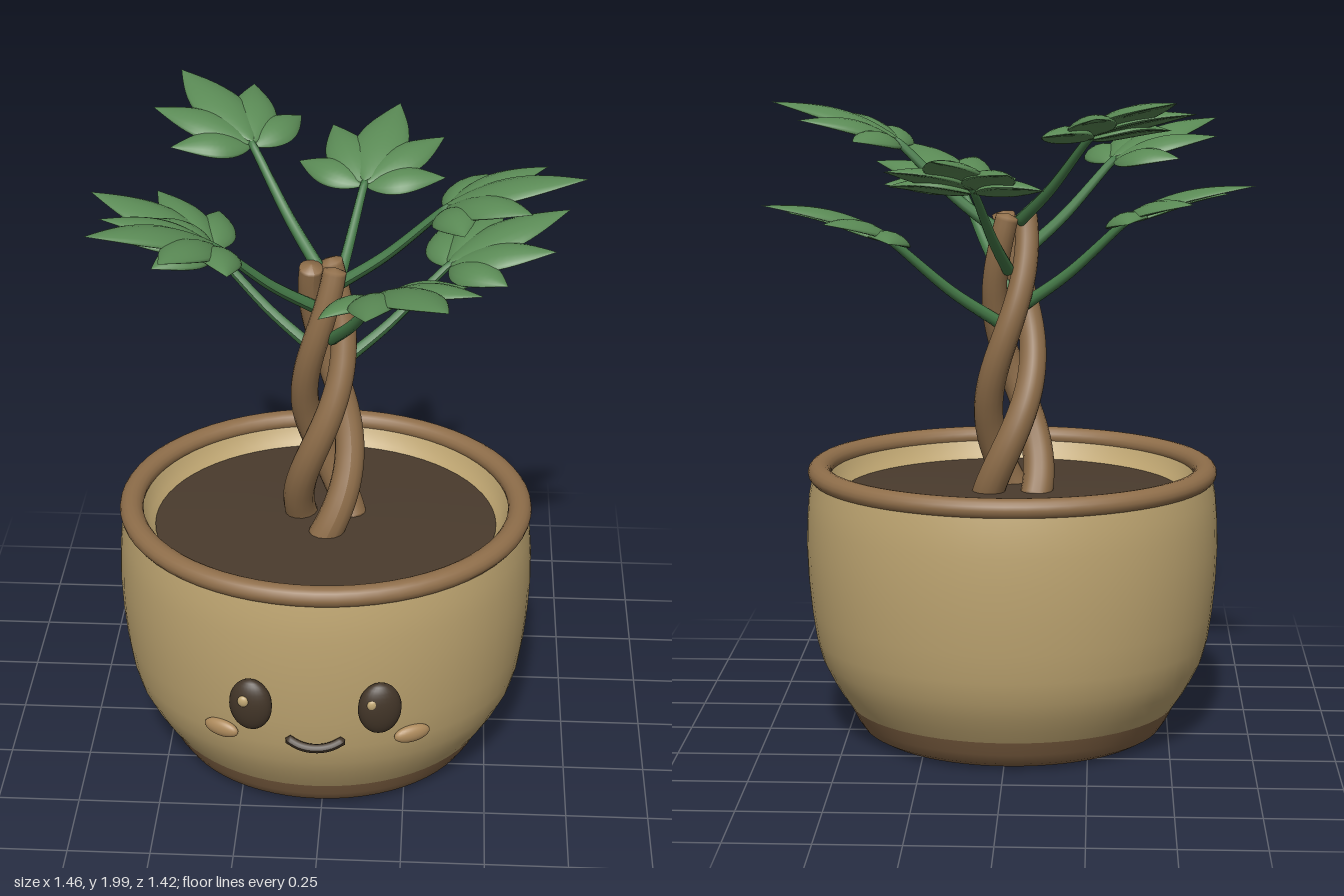
import * as THREE from 'three';

const mat = (name, color) => {
  const m = new THREE.MeshStandardMaterial({ color });
  m.name = name;
  return m;
};
const V = (x, y, z) => new THREE.Vector3(x, y, z);

export function createModel() {
  const clay = mat('clay tan', 0xbea571);
  const brown = mat('bark brown', 0x8f6e4a);
  const footBrown = mat('foot brown', 0x826344);
  const soilDark = mat('soil dark', 0x4a3b2d);
  const faceDark = mat('face dark', 0x423528);
  const blush = mat('cheek tan', 0xad8a5c);
  const shine = mat('eye shine', 0xbfa673);
  const leafGreen = mat('leaf green', 0x5a8a55);
  const stemGreen = mat('stem green', 0x457a48);

  const model = new THREE.Group();
  model.name = 'pottedPlant';
  const CX = -0.01, CZ = 0.053, DEPTH = 0.918;

  const add = (parent, name, geo, material) => {
    const mesh = new THREE.Mesh(geo, material);
    mesh.name = name;
    parent.add(mesh);
    return mesh;
  };
  const lathe = (pts) => new THREE.LatheGeometry(pts.map(([r, y]) => new THREE.Vector2(r, y)), 64);

  // Tube whose radius runs from r0 to r1, with closed ends
  const taperedTube = (curve, segs, r0, r1, sides) => {
    const geo = new THREE.TubeGeometry(curve, segs, 1, sides);
    const p = geo.attributes.position, v = V();
    for (let i = 0; i < p.count; i++) {
      const ring = Math.floor(i / (sides + 1));
      const t = ring / segs;
      const c = curve.getPointAt(t);
      const r = ring === 0 || ring === segs ? 0 : r0 + (r1 - r0) * t;
      v.fromBufferAttribute(p, i).sub(c).multiplyScalar(r).add(c);
      p.setXYZ(i, v.x, v.y, v.z);
    }
    geo.computeVertexNormals();
    return geo;
  };

  // Oval pot: every ring is slightly narrower front to back
  const pot = new THREE.Group();
  pot.name = 'pot';
  pot.position.set(CX, 0, CZ);
  pot.scale.z = DEPTH;
  model.add(pot);
  add(pot, 'potBody', lathe([
    [0.513, 0.1], [0.54, 0.14], [0.566, 0.185], [0.593, 0.24], [0.612, 0.31], [0.625, 0.4],
    [0.634, 0.5], [0.638, 0.6], [0.635, 0.69], [0.629, 0.76], [0.617, 0.82]]), clay);
  add(pot, 'potInnerWall', lathe([[0.575, 0.84], [0.558, 0.81], [0.54, 0.775], [0.5, 0.74]]), clay);
  add(pot, 'potFloor', lathe([[0, 0.1], [0.5, 0.1]]), clay);
  add(pot, 'potFoot', lathe([
    [0.13, 0.1], [0.13, 0.055], [0.145, 0.03], [0.19, 0.012], [0.28, 0.003], [0.38, 0],
    [0.44, 0.006], [0.468, 0.022], [0.49, 0.055], [0.513, 0.1]]), footBrown);
  const rim = add(pot, 'potRim', new THREE.TorusGeometry(0.596, 0.036, 16, 64), brown);
  rim.rotation.x = Math.PI / 2;
  rim.scale.z = 0.87;
  rim.position.y = 0.83;
  add(pot, 'soil', lathe([[0.525, 0.765], [0.3, 0.773], [0, 0.776]]), soilDark);

  // Face on the front of the pot
  const face = new THREE.Group();
  face.name = 'face';
  face.position.x = CX;
  model.add(face);
  const blob = (name, material, pos, size, turn = 0) => {
    const m = add(face, name, new THREE.SphereGeometry(1, 24, 16), material);
    m.position.set(...pos);
    m.scale.set(...size);
    m.rotation.y = turn;
  };
  for (const [side, s] of [['left', 1], ['right', -1]]) {
    blob(side + 'Eye', faceDark, [s * 0.19, 0.47, 0.63], [0.065, 0.086, 0.036], s * 0.2);
    blob(side + 'EyeShine', shine, [s * 0.19 - 0.02, 0.497, 0.658], [0.017, 0.018, 0.01], s * 0.2);
    blob(side + 'Cheek', blush, [s * 0.285, 0.335, 0.562], [0.058, 0.028, 0.02], s * 0.47);
  }
  const smile = new THREE.CatmullRomCurve3([
    V(-0.088, 0.347, 0.622), V(-0.045, 0.328, 0.634), V(0, 0.322, 0.638), V(0.045, 0.328, 0.634), V(0.088, 0.347, 0.622)]);
  add(face, 'smile', taperedTube(smile, 24, 0.014, 0.014, 8), faceDark);

  // Three braided trunks
  for (let k = 0; k < 3; k++) {
    const pts = [];
    for (let i = 0; i <= 16; i++) {
      const y = 0.74 + 0.89 * i / 16;
      const a = -Math.PI / 2 + k * Math.PI * 2 / 3 + (y - 0.85) * 5.71;
      const r = 0.088 - 0.046 * i / 16;
      pts.push(V(CX + r * Math.sin(a), y, CZ - 0.005 + r * Math.cos(a)));
    }
    add(model, 'trunk' + (k + 1), taperedTube(new THREE.CatmullRomCurve3(pts), 90, 0.05, 0.035, 14), brown);
  }

  // Puffy pointed leaflet lying along +z
  const leaflet = (length, width) => {
    const geo = new THREE.SphereGeometry(1, 18, 14);
    geo.rotateX(Math.PI / 2);
    const p = geo.attributes.position;
    for (let i = 0; i < p.count; i++) {
      const t = Math.acos(THREE.MathUtils.clamp(-p.getZ(i), -1, 1)) / Math.PI;
      const ring = Math.hypot(p.getX(i), p.getY(i)) || 1;
      const cx = p.getX(i) / ring, cy = p.getY(i) / ring;
      const w = Math.max(0, Math.sin(Math.PI * Math.pow(t, 0.82)));
      const droop = 0.016 * cx * cx * w;
      p.setXYZ(i, cx * w * width / 2, cy * w * 0.016 + 0.02 * Math.sin(Math.PI * t) - droop, t * length);
    }
    geo.computeVertexNormals();
    return geo;
  };
  // angle, length, width and height of each leaflet in a fan
  const fan = [[0, 0.415, 0.17, 0.012], [0.58, 0.33, 0.145, 0.004], [-0.58, 0.33, 0.145, 0.004],
    [1.22, 0.25, 0.13, -0.006], [-1.22, 0.25, 0.13, -0.006]];
  const leafGeos = fan.map(([, l, w]) => leaflet(l, w));

  // Stems with a fan of leaflets: each entry is the stem tip
  const tips = [[-0.245, 1.875, -0.253], [0.087, 1.725, -0.328], [0.35, 1.56, -0.11], [0.34, 1.835, 0.103],
    [0.16, 1.67, 0.36], [-0.316, 1.77, 0.26], [-0.355, 1.615, -0.07]];
  tips.forEach(([x, y, z], n) => {
    const dx = x - CX, dz = z - CZ;
    const branch = new THREE.Group();
    branch.name = 'branch' + (n + 1);
    model.add(branch);
    const path = new THREE.CatmullRomCurve3([
      V(CX + dx * 0.06, y - 0.28, CZ + dz * 0.06),
      V(CX + dx * 0.5, y - 0.165, CZ + dz * 0.5),
      V(x, y, z), V(x + dx * 0.06, y + 0.012, z + dz * 0.06)]);
    add(branch, 'stem', taperedTube(path, 24, 0.02, 0.012, 8), stemGreen);
    const head = new THREE.Group();
    head.name = 'leafFan';
    head.position.set(x, y, z);
    head.rotation.set(-0.26, Math.atan2(dx, dz), 0, 'YXZ');
    branch.add(head);
    fan.forEach(([angle, , , h], i) => {
      const leaf = add(head, 'leaflet' + (i + 1), leafGeos[i], leafGreen);
      leaf.rotation.y = angle;
      leaf.position.y = h;
    });
  });
  return model;
}
